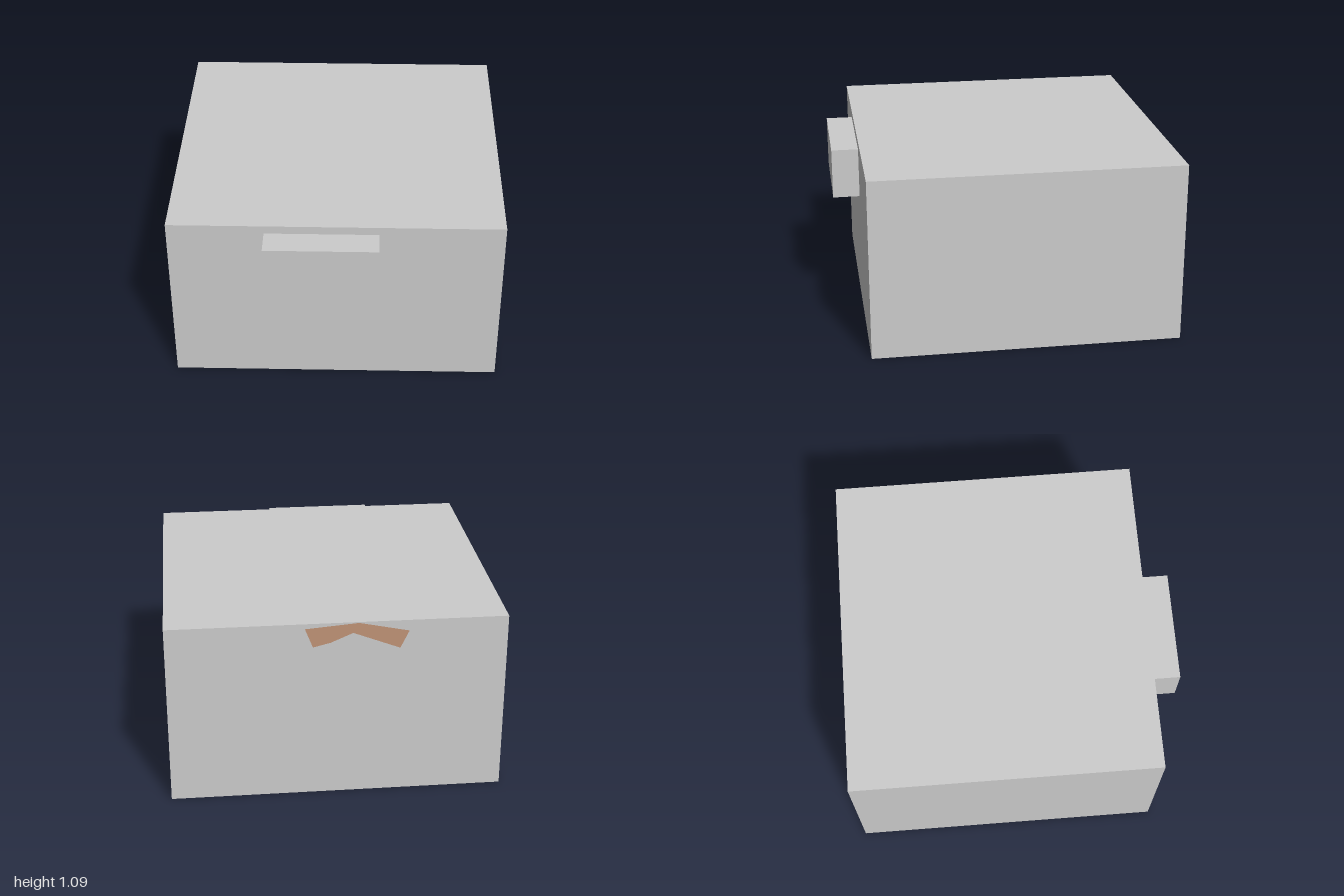
import * as THREE from 'three';

const grey = new THREE.MeshStandardMaterial({ color: 0xcccccc, flatShading: true });
const brown = new THREE.MeshStandardMaterial({ color: 0xc09376, flatShading: true, side: THREE.DoubleSide });

// Box given by its lower and upper corners
function box(name, [x0, y0, z0], [x1, y1, z1]) {
  const mesh = new THREE.Mesh(new THREE.BoxGeometry(x1 - x0, y1 - y0, z1 - z0), grey);
  mesh.position.set((x0 + x1) / 2, (y0 + y1) / 2, (z0 + z1) / 2);
  mesh.name = name;
  return mesh;
}

function outline(points) {
  return new THREE.Shape(points.map(([x, y]) => new THREE.Vector2(x, y)));
}

export function createModel() {
  const model = new THREE.Group();
  model.name = 'blockWithFrontPanel';

  // Main body and the panel standing out from its front
  model.add(box('body', [-0.97, 0, -1], [0.97, 1.09, 0.84]));
  model.add(box('frontPanel', [-0.41, 0.74, 0.84], [0.25, 1.04, 1]));

  // Flat bent band on the back face
  const band = new THREE.Mesh(new THREE.ShapeGeometry(outline([
    [0.185, 1.06], [0.14, 0.945], [0.04, 0.97], [-0.087, 1.025],
    [-0.355, 0.92], [-0.405, 1.025], [-0.12, 1.085],
  ])), brown);
  band.position.z = -1.001;
  band.name = 'backBand';
  model.add(band);

  // Two small tips showing under the front panel
  const tips = {
    rightTip: [[-0.376, 0.741], [-0.37, 0.733], [-0.352, 0.741]],
    leftTip: [[0.2, 0.741], [0.212, 0.735], [0.216, 0.741]],
  };
  for (const [name, points] of Object.entries(tips)) {
    const geometry = new THREE.ExtrudeGeometry(outline(points), { depth: 0.155, bevelEnabled: false });
    const tip = new THREE.Mesh(geometry, brown);
    tip.position.z = 0.84;
    tip.name = name;
    model.add(tip);
  }
  return model;
}
